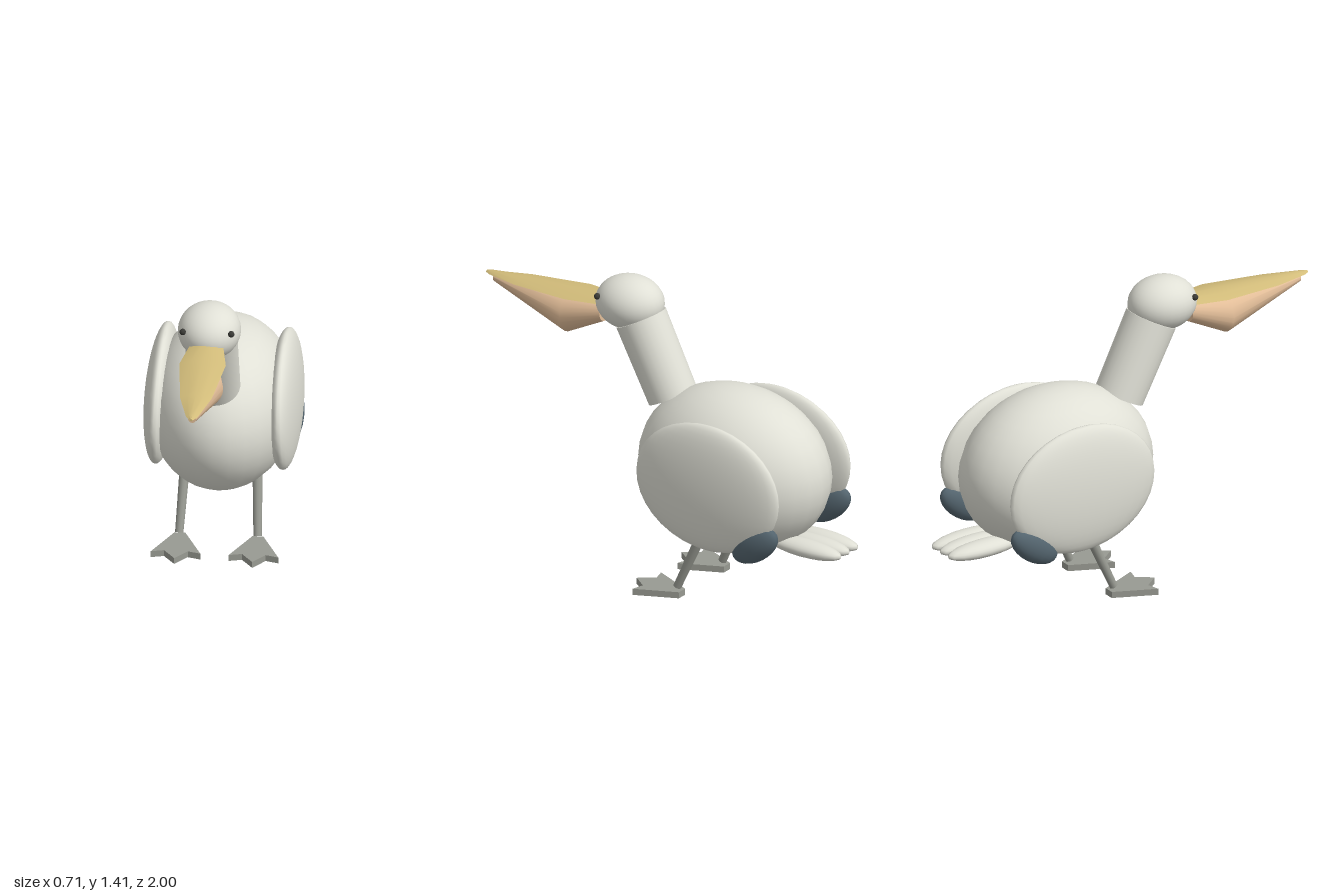
import * as THREE from 'three';
import { toCreasedNormals } from 'three/addons/utils/BufferGeometryUtils.js';

const material = (name, color) => {
  const m = new THREE.MeshStandardMaterial({ color });
  m.name = name;
  return m;
};

// Skins closed rings (counter-clockwise seen from +z, ordered towards +z) and caps both ends
function loft(rings, crease) {
  const n = rings[0].length, pos = [], idx = [];
  rings.forEach(r => r.forEach(p => pos.push(...p)));
  for (let i = 0; i < rings.length - 1; i++) {
    for (let j = 0; j < n; j++) {
      const k = (j + 1) % n, a = i * n + j, b = i * n + k, c = b + n, d = a + n;
      idx.push(a, b, c, a, c, d);
    }
  }
  const last = (rings.length - 1) * n;
  for (let j = 1; j < n - 1; j++) idx.push(0, j + 1, j, last, last + j, last + j + 1);
  const g = new THREE.BufferGeometry();
  g.setAttribute('position', new THREE.Float32BufferAttribute(pos, 3));
  g.setIndex(idx);
  return toCreasedNormals(g, crease);
}

export function createModel() {
  const bird = new THREE.Group();
  bird.name = 'bird';
  const plumage = material('plumage', 0xe0e0d6);
  const darkFeather = material('dark feather', 0x556670);
  const beakYellow = material('beak yellow', 0xd2bc7a);
  const pouchPeach = material('pouch peach', 0xe3be99);
  const legGrey = material('leg grey', 0x989a92);
  const eyeDark = material('eye dark', 0x3a3a36);

  const add = (name, geometry, mat) => {
    const m = new THREE.Mesh(geometry, mat);
    m.name = name;
    bird.add(m);
    return m;
  };
  const ellipsoid = (name, mat, center, radii, w = 28, h = 18) => {
    const m = add(name, new THREE.SphereGeometry(1, w, h), mat);
    m.position.set(...center);
    m.scale.set(...radii);
    return m;
  };
  // Tapered round bar between two points
  const bar = (name, mat, from, to, r0, r1, sides) => {
    const a = new THREE.Vector3(...from), b = new THREE.Vector3(...to);
    const dir = b.clone().sub(a);
    const m = add(name, new THREE.CylinderGeometry(r1, r0, dir.length(), sides), mat);
    m.position.copy(a).add(b).multiplyScalar(0.5);
    m.quaternion.setFromUnitVectors(new THREE.Vector3(0, 1, 0), dir.normalize());
    return m;
  };

  // Body, neck and head
  ellipsoid('body', plumage, [0, 0.625, -0.37], [0.34, 0.385, 0.48]);
  bar('neck', plumage, [0, 0.885, -0.025], [0, 1.225, 0.15], 0.116, 0.121, 24);
  ellipsoid('head', plumage, [0, 1.29, 0.21], [0.143, 0.125, 0.164]);

  // Upper beak: flat ridge narrowing to the tip
  const beak = [
    // z, half width, ridge y, edge y, underside y
    [0.3, 0.07, 1.295, 1.272, 1.262],
    [0.5, 0.105, 1.287, 1.265, 1.253],
    [0.8, 0.072, 1.265, 1.25, 1.24],
    [0.97, 0.026, 1.253, 1.242, 1.235],
    [1.0, 0.008, 1.248, 1.241, 1.236],
  ];
  add('upperBeak', loft(beak.map(([z, w, top, edge, low]) => {
    const shoulder = edge + (top - edge) * 0.75;
    return [[w, edge, z], [w / 2, shoulder, z], [0, top, z], [-w / 2, shoulder, z], [-w, edge, z], [0, low, z]];
  }), 0.6), beakYellow);

  // Throat pouch: round sections hanging below the beak
  const pouch = [[0.345, 0.05, 1.212], [0.535, 0.097, 1.163], [0.955, 0.018, 1.223]];
  add('pouch', loft(pouch.map(([z, r, y]) => Array.from({ length: 24 }, (_, i) => {
    const t = i / 24 * Math.PI * 2;
    return [r * Math.cos(t), y + r * Math.sin(t), z];
  })), 0.5), pouchPeach);

  // Tail feathers
  for (const i of [-1, 0, 1]) {
    ellipsoid('tailFeather', plumage, [i * 0.066, 0.352, -0.8], [0.06, 0.039, 0.2], 16, 12);
  }

  // Webbed foot outline, toes towards the front
  const outline = [[-0.025, -0.2], [0.025, -0.2], [0.113, -0.005], [0.054, -0.022],
    [0, 0.05], [-0.054, -0.022], [-0.113, -0.005]];
  const footShape = new THREE.Shape(outline.map(([x, z]) => new THREE.Vector2(x, -z)));
  const footGeometry = new THREE.ExtrudeGeometry(footShape, { depth: 0.03, bevelEnabled: false });
  footGeometry.rotateX(-Math.PI / 2);

  // Paired parts
  for (const s of [1, -1]) {
    const side = s > 0 ? 'left' : 'right';
    ellipsoid(side + 'Eye', eyeDark, [s * 0.11, 1.328, 0.315], [0.015, 0.015, 0.015], 12, 8);
    ellipsoid(side + 'Wing', plumage, [s * 0.282, 0.628, -0.415], [0.073, 0.303, 0.392]).rotation.z = s * 0.03;
    ellipsoid(side + 'WingTip', darkFeather, [s * 0.287, 0.41, -0.68], [0.05, 0.073, 0.142], 18, 12).rotation.x = 0.61;
    bar(side + 'Leg', legGrey, [s * 0.178, 0.045, -0.175], [s * 0.163, 0.37, -0.32], 0.019, 0.024, 12);
    add(side + 'Foot', footGeometry, legGrey).position.x = s * 0.177;
  }
  return bird;
}
